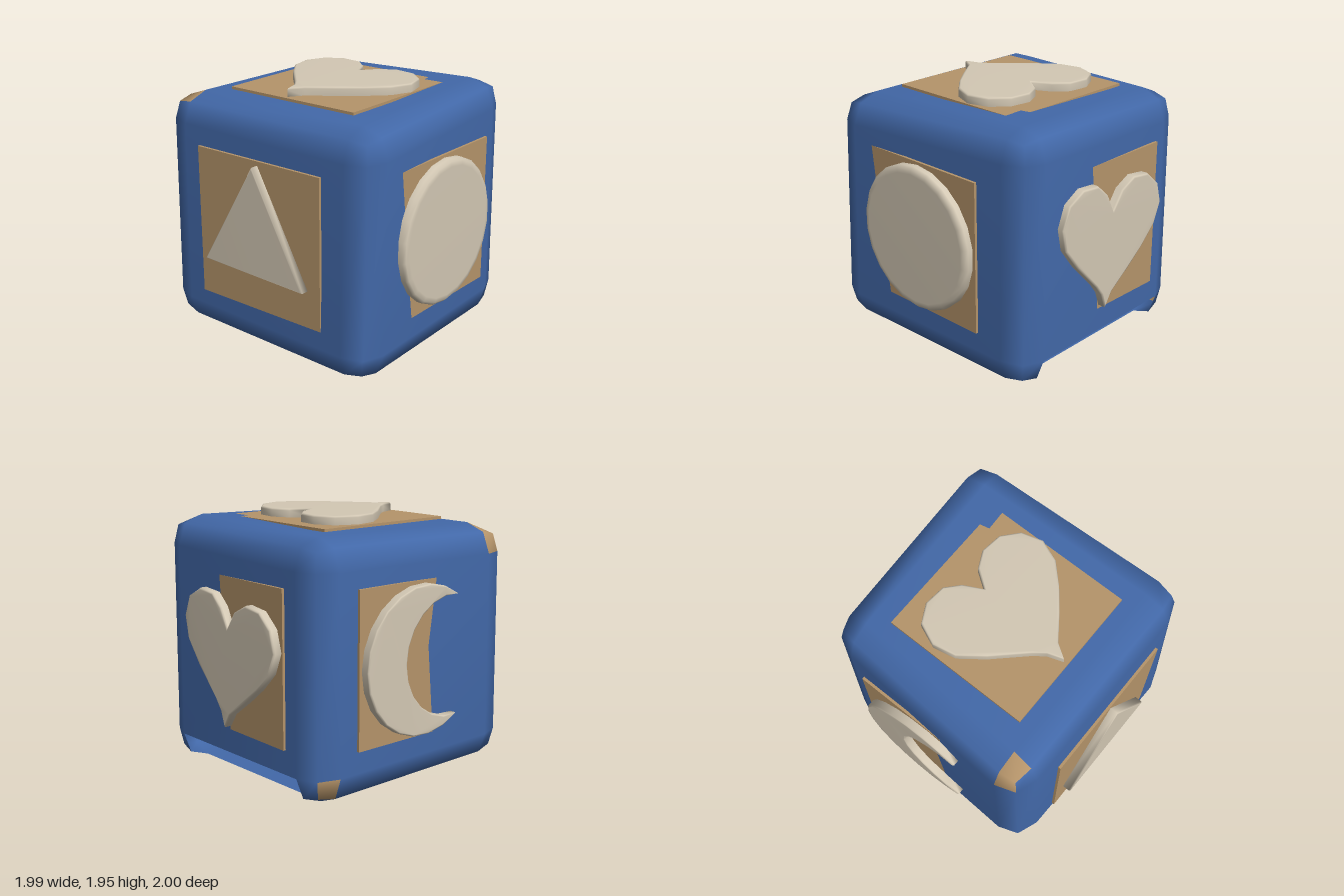
import * as THREE from 'three';
import { mergeVertices } from 'three/addons/utils/BufferGeometryUtils.js';

const mat = (name, color) => {
  const m = new THREE.MeshStandardMaterial({ color });
  m.name = name;
  return m;
};

// Share vertices so the shading runs smoothly over the edges
function smooth(geometry) {
  geometry.deleteAttribute('uv');
  geometry.deleteAttribute('normal');
  const g = mergeVertices(geometry, 1e-4);
  g.computeVertexNormals();
  return g;
}

// Extents of the slightly skewed cube, keyed by the signs of x, y, z
const CORNERS = {
  '1,1,1': [0.949, 1.85, 0.875], '-1,1,1': [-0.975, 1.86, 0.865],
  '1,-1,1': [0.965, 0.05, 0.945], '-1,-1,1': [-0.965, 0.07, 0.90],
  '1,1,-1': [0.846, 1.915, -0.957], '-1,1,-1': [-0.86, 1.865, -0.90],
  '1,-1,-1': [0.861, 0, -0.962], '-1,-1,-1': [-0.88, 0, -0.906],
};

function skew(p) {
  const out = new THREE.Vector3();
  for (const [key, c] of Object.entries(CORNERS)) {
    const [a, b, d] = key.split(',').map(Number);
    const w = (1 + a * p.x) * (1 + b * p.y) * (1 + d * p.z) / 8;
    out.addScaledVector(new THREE.Vector3(...c), w);
  }
  return out;
}

// Cube with two-step bevels, an open lower back bevel and a few bare corner facets
function bodyGeometry() {
  const box = new THREE.BoxGeometry(2, 2, 2, 3, 3, 3);
  box.clearGroups();
  box.deleteAttribute('uv');
  box.deleteAttribute('normal');
  const g = mergeVertices(box, 1e-4);
  const pos = g.attributes.position;
  const old = g.index.array;
  const painted = [], bare = [];
  const v = new THREE.Vector3();
  for (let i = 0; i < old.length; i += 6) {
    const quad = Array.from(old.slice(i, i + 6));
    const c = new THREE.Vector3();
    quad.forEach((k) => c.add(v.fromBufferAttribute(pos, k)));
    c.divideScalar(6);
    const isOpen = Math.abs(c.x) < 0.3 && c.y < -0.5 && c.z < -0.5;
    const topCorner = c.x < -0.5 && c.y > 0.5 && c.z > 0.5 && c.z < 0.9;
    const lowCorner = c.x < -0.9 && c.y < -0.5 && c.z < -0.5;
    if (isOpen) continue;
    (topCorner || lowCorner ? bare : painted).push(...quad);
  }
  for (let i = 0; i < pos.count; i++) {
    v.fromBufferAttribute(pos, i);
    const outer = v.toArray().filter((t) => Math.abs(t) > 0.9).length;
    const reach = [0, 1, 0.936, 0.91][outer];
    const p = new THREE.Vector3(...v.toArray().map(
      (t) => Math.sign(t) * (Math.abs(t) > 0.9 ? reach : 0.766)));
    const q = skew(p);
    pos.setXYZ(i, q.x, q.y, q.z);
  }
  g.setIndex([...painted, ...bare]);
  g.addGroup(0, painted.length, 0);
  g.addGroup(painted.length, bare.length, 1);
  g.computeVertexNormals();
  return g;
}

function raised(points, bevel = 0.015) {
  const shape = new THREE.Shape(points.map(([x, y]) => new THREE.Vector2(x, y)));
  const g = new THREE.ExtrudeGeometry(shape, {
    depth: 0.085 - 2 * bevel, bevelEnabled: true, bevelSize: bevel,
    bevelThickness: bevel, bevelOffset: -bevel, bevelSegments: 2,
  });
  g.translate(0, 0, bevel - 0.02);
  return smooth(g);
}

const triangle = () => raised([[0.01, 0.535], [-0.47, -0.26], [0.455, -0.285]], 0.012);

const heart = () => raised([
  [0.01, 0.21], [-0.06, 0.35], [-0.16, 0.44], [-0.32, 0.455], [-0.46, 0.38],
  [-0.525, 0.22], [-0.49, 0.05], [-0.36, -0.12], [-0.15, -0.34], [-0.09, -0.42],
  [-0.05, -0.535], [0.02, -0.43], [0.2, -0.3], [0.35, -0.18], [0.49, -0.04],
  [0.555, 0.12], [0.51, 0.28], [0.39, 0.385], [0.23, 0.405], [0.1, 0.34],
].reverse());

function moon() {
  const pts = [];
  const arc = (cx, r, from, to, n) => {
    for (let i = 0; i < n; i++) {
      const a = from + (to - from) * i / n;
      pts.push([cx + r * Math.cos(a), r * Math.sin(a)]);
    }
  };
  const a = Math.atan2(0.44, 0.32), b = Math.atan2(0.44, 0.056);
  arc(0, 0.545, a, 2 * Math.PI - a, 16);
  arc(0.264, 0.444, 2 * Math.PI - b, b, 12);
  return raised(pts, 0.012);
}

function disc() {
  const profile = [[0.545, -0.02], [0.545, 0.04], [0.525, 0.06], [0.49, 0.065], [0, 0.065]];
  const g = new THREE.LatheGeometry(profile.map(([x, y]) => new THREE.Vector2(x, y)), 22);
  return g.rotateX(Math.PI / 2);
}

export function createModel() {
  const model = new THREE.Group();
  model.name = 'shapeCube';
  const blue = mat('blue', 0x4268a8);
  const tan = mat('tan', 0xb5946a);
  const cream = mat('cream', 0xd3c8b4);
  for (const m of [blue, tan]) m.side = THREE.DoubleSide;

  const body = new THREE.Mesh(bodyGeometry(), [blue, tan]);
  body.name = 'cubeBody';
  model.add(body);

  // One square plate with a raised shape for each decorated side
  const plate = new THREE.BoxGeometry(1.13, 1.13, 0.02).translate(0, 0, -0.01);
  const H = Math.PI / 2;
  const sides = [
    ['frontTriangle', triangle(), [0, 0.965, 0.93], [0, 0, 0]],
    ['leftDisc', disc(), [0.93, 0.965, 0], [0, H, 0]],
    ['backHeart', heart(), [0, 0.965, -0.935], [0, 2 * H, 0]],
    ['rightMoon', moon(), [-0.93, 0.965, 0], [0, -H, 0]],
    ['topHeart', heart(), [0, 1.895, 0], [-H, 0, 0]],
  ];
  for (const [name, geometry, position, rotation] of sides) {
    const panel = new THREE.Group();
    panel.name = name + 'Panel';
    const base = new THREE.Mesh(plate, tan);
    base.name = name + 'Plate';
    const shape = new THREE.Mesh(geometry, cream);
    shape.name = name;
    panel.add(base, shape);
    panel.position.set(...position);
    panel.rotation.set(...rotation);
    model.add(panel);
  }
  return model;
}
